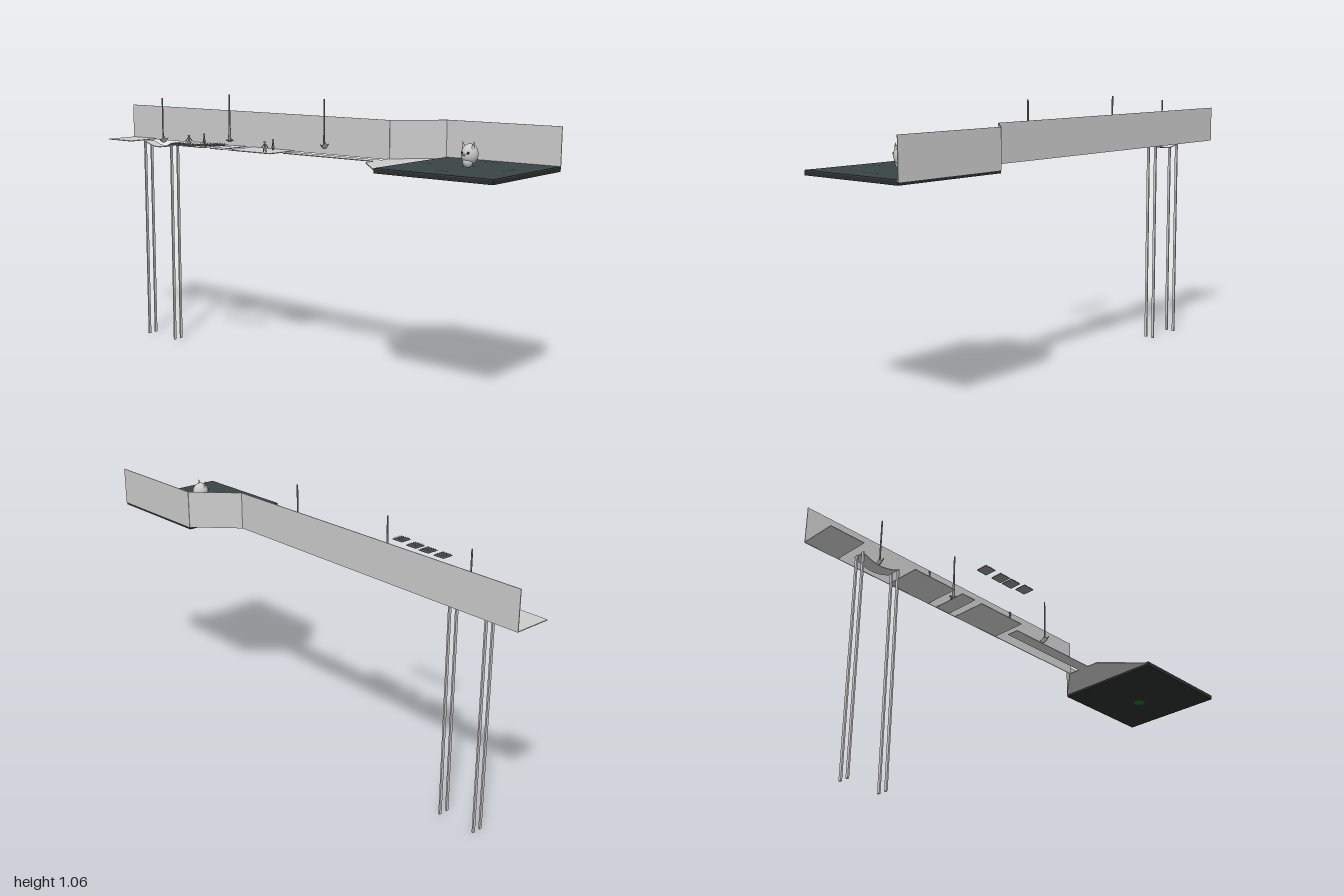
import * as THREE from 'three';

const mat = (name, color, side = THREE.FrontSide) => {
  const m = new THREE.MeshStandardMaterial({ color, side });
  m.name = name;
  return m;
};

export function createModel() {
  const root = new THREE.Group();
  root.name = 'obstacleCourse';
  const stone = mat('paleStone', 0xcccccc, THREE.DoubleSide);
  const slate = mat('darkSlate', 0x3a4444);
  const shade = mat('charcoal', 0x2b2e2e);
  const green = mat('glowGreen', 0x1f6a28, THREE.DoubleSide);
  const metal = mat('greyMetal', 0x8c8c8c);

  const add = (name, geo, m, x = 0, y = 0, z = 0, parent = root) => {
    const mesh = new THREE.Mesh(geo, m);
    mesh.name = name;
    mesh.position.set(x, y, z);
    parent.add(mesh);
    return mesh;
  };
  // box given by its limits
  const span = (name, m, x0, x1, y0, y1, z0, z1) =>
    add(name, new THREE.BoxGeometry(x1 - x0, y1 - y0, z1 - z0), m,
      (x0 + x1) / 2, (y0 + y1) / 2, (z0 + z1) / 2);
  const group = (name, x, y, z) => {
    const g = new THREE.Group();
    g.name = name;
    g.position.set(x, y, z);
    root.add(g);
    return g;
  };

  // walkway plates and narrow beam
  for (const [a, b] of [[-1, -0.855], [-0.62, -0.425], [-0.385, -0.32], [-0.285, -0.065]])
    span('floorPlate', stone, a, b, 0.848, 0.851, -0.088, 0.058);
  span('narrowBeam', stone, -0.04, 0.39, 0.848, 0.851, -0.04, 0.01);

  // widening floor in front of the arena
  const fan = new THREE.Shape([[0.39, 0.088], [0.39, -0.06], [0.54, -0.215], [0.54, 0.236]]
    .map(p => new THREE.Vector2(...p)));
  const fanGeo = new THREE.ExtrudeGeometry(fan, { depth: 0.003, bevelEnabled: false });
  fanGeo.rotateX(-Math.PI / 2);
  add('fanFloor', fanGeo, stone, 0, 0.848, 0);

  // back wall in three straight runs
  const wall = [[-1, -0.088], [0.39, -0.088], [0.54, -0.236], [1, -0.236]];
  for (let i = 0; i < 3; i++) {
    const [x0, z0] = wall[i], [x1, z1] = wall[i + 1];
    const w = add('backWall', new THREE.BoxGeometry(Math.hypot(x1 - x0, z1 - z0), 0.145, 0.003),
      stone, (x0 + x1) / 2, 0.92, (z0 + z1) / 2);
    w.rotation.y = -Math.atan2(z1 - z0, x1 - x0);
  }

  // sagging bridge on four tall posts
  const bridge = new THREE.BoxGeometry(0.16, 0.003, 0.05, 14, 1, 1);
  const p = bridge.attributes.position;
  for (let i = 0; i < p.count; i++)
    p.setY(i, p.getY(i) - 0.02 * (1 - (p.getX(i) / 0.08) ** 2));
  bridge.computeVertexNormals();
  add('saggingBridge', bridge, stone, -0.74, 0.849, -0.015);
  for (const x of [-0.82, -0.66])
    for (const z of [0.009, -0.027])
      span('bridgePost', stone, x - 0.003, x + 0.003, 0, 0.85, z - 0.0055, z + 0.0055);

  // arena slab with shallow dish below
  span('arenaTop', slate, 0.54, 1, 0.852, 0.856, -0.235, 0.215);
  span('arenaSlab', shade, 0.54, 1, 0.838, 0.852, -0.235, 0.215);
  const dish = [[0, 0.819], [0.07, 0.82], [0.13, 0.825], [0.18, 0.832], [0.224, 0.839]];
  add('arenaDish', new THREE.LatheGeometry(dish.map(q => new THREE.Vector2(...q)), 40),
    shade, 0.77, 0, -0.01);

  // green markings
  for (const [start, len] of [[-0.25, 0.5], [1.35, 0.45], [3.0, 0.35], [4.5, 0.35]]) {
    const arc = add('greenArc', new THREE.RingGeometry(0.154, 0.158, 16, 1, start, len),
      green, 0.77, 0.857, -0.02);
    arc.rotation.x = -Math.PI / 2;
  }
  for (const y of [0.857, 0.818]) {
    const disc = add('greenCentre', new THREE.CircleGeometry(0.024, 20), green, 0.77, y, -0.015);
    disc.rotation.x = -Math.PI / 2;
  }

  // floating horned head
  const head = group('hornedHead', 0.775, 0.899, -0.012);
  add('skull', new THREE.SphereGeometry(1, 24, 16), stone, 0, 0.002, 0, head).scale.set(0.028, 0.036, 0.034);
  add('jaw', new THREE.SphereGeometry(1, 16, 12), stone, 0, -0.022, 0.011, head).scale.set(0.018, 0.021, 0.019);
  const nose = add('nose', new THREE.ConeGeometry(0.004, 0.02, 8), stone, 0, 0.002, 0.041, head);
  nose.rotation.x = Math.PI / 2;
  for (const s of [-1, 1]) {
    const ear = add('horn', new THREE.ConeGeometry(0.007, 0.028, 8), stone, s * 0.02, 0.034, 0.01, head);
    ear.rotation.z = -s * 0.2;
    const eye = add('eye', new THREE.SphereGeometry(1, 12, 8), shade, s * 0.011, 0.008, 0.03, head);
    eye.scale.set(0.006, 0.004, 0.003);
    eye.rotation.z = s * 0.4;
  }

  // swinging axes: rod with a crescent blade
  const blade = new THREE.Shape();
  blade.moveTo(-0.026, 0.022);
  blade.quadraticCurveTo(0, -0.018, 0.026, 0.022);
  blade.quadraticCurveTo(0.012, 0.012, 0.004, 0.028);
  blade.lineTo(-0.004, 0.028);
  blade.quadraticCurveTo(-0.012, 0.012, -0.026, 0.022);
  const bladeGeo = new THREE.ExtrudeGeometry(blade, { depth: 0.003, bevelEnabled: false, curveSegments: 8 });
  bladeGeo.translate(0, 0, -0.0015).rotateY(Math.PI / 2);
  for (const [x, y] of [[-0.73, 0.844], [0.145, 0.874]]) {
    const axe = group('swingingAxe', x, y, -0.01);
    add('axeRod', new THREE.CylinderGeometry(0.003, 0.003, 0.165, 8), metal, 0, 0.107, 0, axe);
    add('axeBlade', bladeGeo, metal, 0, 0, -0.004, axe);
  }

  // spinning pole with crossed blades at its foot
  const spin = group('spinningPole', -0.355, 0.852, -0.025);
  add('pole', new THREE.CylinderGeometry(0.003, 0.004, 0.19, 10), metal, 0, 0.115, 0, spin);
  add('poleFoot', new THREE.CylinderGeometry(0.004, 0.007, 0.07, 10), metal, 0, 0.055, 0, spin);
  add('crossBladeX', new THREE.BoxGeometry(0.038, 0.004, 0.006), metal, 0, 0.026, 0, spin);
  add('crossBladeZ', new THREE.BoxGeometry(0.006, 0.004, 0.03), metal, 0, 0.026, 0, spin);

  // small guards
  for (const [x, z, turn] of [[-0.53, -0.055, 0.6], [-0.53, 0.033, -0.6], [-0.14, -0.045, 0.5], [-0.11, 0.037, -0.4]]) {
    const g = group('guard', x, 0.852, z);
    g.rotation.y = turn;
    add('guardBody', new THREE.ConeGeometry(0.007, 0.03, 8), metal, 0, 0.021, 0, g);
    add('guardHead', new THREE.SphereGeometry(0.005, 10, 8), metal, 0, 0.037, 0, g);
    for (const s of [-1, 1]) {
      const arm = add('guardArm', new THREE.CylinderGeometry(0.002, 0.002, 0.018, 6), metal, 0, 0.024, s * 0.008, g);
      arm.rotation.x = -s * 0.7;
      add('guardLeg', new THREE.CylinderGeometry(0.0025, 0.002, 0.014, 6), metal, 0, 0.007, s * 0.005, g);
    }
  }

  // floating spiked tiles
  const spike = new THREE.ConeGeometry(0.005, 0.007, 4);
  for (const [x, y, z] of [[-0.41, 0.876, 0.207], [-0.335, 0.876, 0.207], [-0.275, 0.88, 0.203], [-0.203, 0.886, 0.203]]) {
    const t = group('spikedTile', x, y, z);
    add('tilePlate', new THREE.BoxGeometry(0.048, 0.003, 0.048), metal, 0, 0, 0, t);
    for (let i = -2; i <= 2; i++)
      for (let j = -2; j <= 2; j++)
        add('tileSpike', spike, metal, i * 0.0095, 0.004, j * 0.0095, t);
  }
  return root;
}
